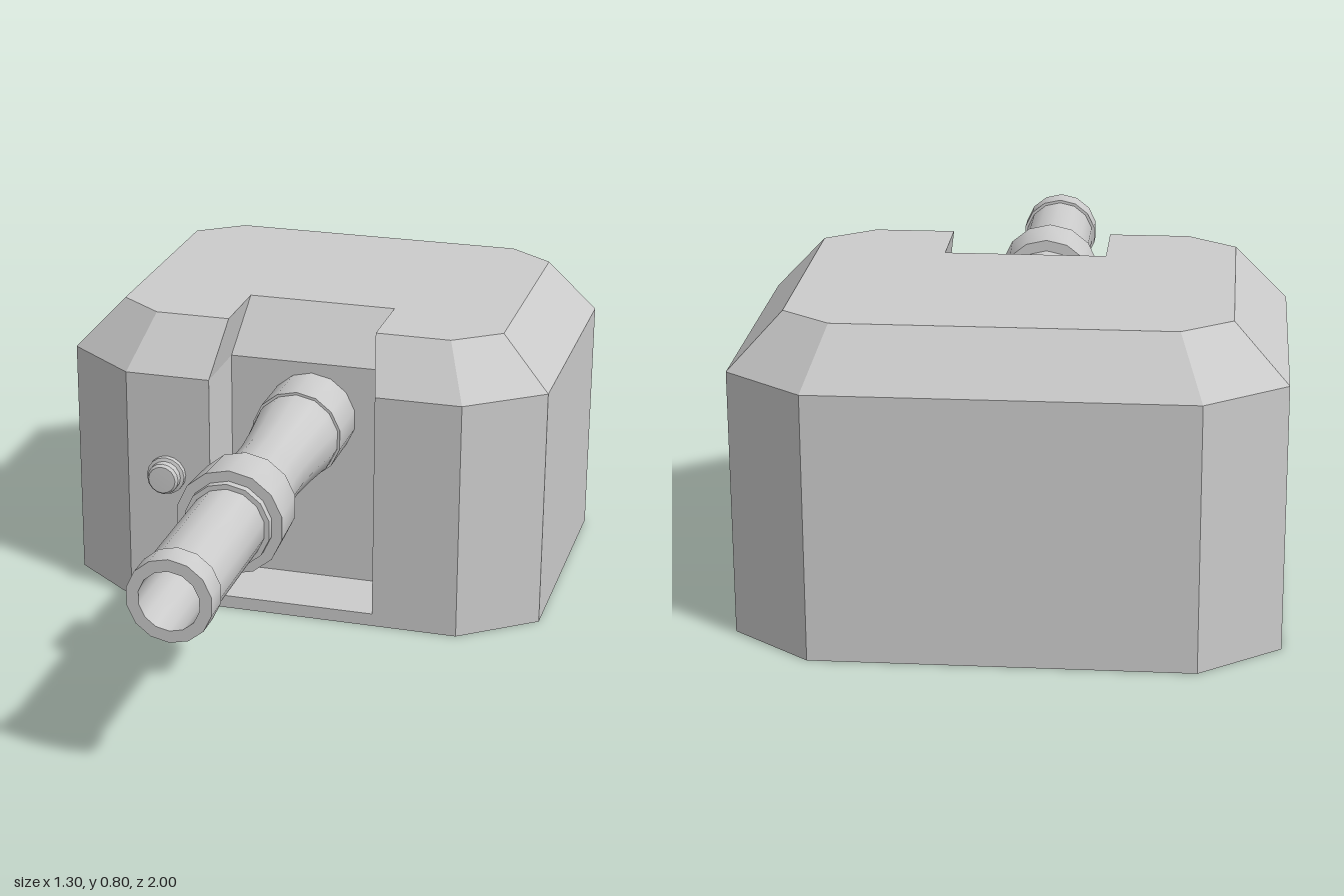
import * as THREE from 'three';
import { toCreasedNormals } from 'three/addons/utils/BufferGeometryUtils.js';

const material = new THREE.MeshStandardMaterial({ color: 0xcccccc });

// Horizontal outline of the housing: chamfered rectangle with a slot in the front.
// hx, hz: half sizes; cx, cz: where the corner chamfers start; slot: half width and depth
function outline(y, hx, hz, cx, cz, slotX, slotDepth) {
  const front = hz - 0.5;
  const back = -hz - 0.5;
  return [
    [-cx, front], [-slotX, front], [-slotX, front - slotDepth],
    [slotX, front - slotDepth], [slotX, front], [cx, front],
    [hx, cz - 0.5], [hx, -cz - 0.5], [cx, back],
    [-cx, back], [-hx, -cz - 0.5], [-hx, cz - 0.5],
  ].map(([x, z]) => new THREE.Vector3(x, y, z));
}

// Flat-shaded loft through the outlines, closed at both ends
function loft(rings) {
  const positions = [];
  const t = new THREE.Triangle();
  const tri = (a, b, c) => {
    if (t.set(a, b, c).getArea() < 1e-7) return;
    for (const p of [a, b, c]) positions.push(p.x, p.y, p.z);
  };
  for (let r = 0; r < rings.length - 1; r++) {
    const low = rings[r], high = rings[r + 1], n = low.length;
    for (let i = 0; i < n; i++) {
      const j = (i + 1) % n;
      tri(low[i], low[j], high[j]);
      tri(low[i], high[j], high[i]);
    }
  }
  const cap = (ring, up) => {
    const flat = ring.map((p) => new THREE.Vector2(p.x, -p.z));
    for (const [a, b, c] of THREE.ShapeUtils.triangulateShape(flat, [])) {
      if (up) tri(ring[a], ring[b], ring[c]);
      else tri(ring[a], ring[c], ring[b]);
    }
  };
  cap(rings[0].filter((p, i) => i < 1 || i > 4), false);
  cap(rings[rings.length - 1], true);
  const geometry = new THREE.BufferGeometry();
  geometry.setAttribute('position', new THREE.Float32BufferAttribute(positions, 3));
  geometry.computeVertexNormals();
  return geometry;
}

// Turned part along z from [radius, z] pairs
function turned(name, profile, sides, x, y) {
  const points = profile.map(([r, z]) => new THREE.Vector2(r, z));
  const lathe = new THREE.LatheGeometry(points, sides).rotateX(Math.PI / 2);
  const mesh = new THREE.Mesh(toCreasedNormals(lathe, 0.6), material);
  mesh.name = name;
  mesh.position.set(x, y, 0);
  return mesh;
}

export function createModel() {
  const group = new THREE.Group();
  group.name = 'turret';

  // Housing: sill, slot floor, straight walls, sloped shoulders
  const wall = (y, depth) => outline(y, 0.65, 0.5, 0.455, 0.35, 0.225, depth);
  const housing = new THREE.Mesh(loft([
    wall(0, 0), wall(0.035, 0), wall(0.035, 0.2), wall(0.655, 0.2),
    outline(0.795, 0.52, 0.4, 0.4, 0.31, 0.2, 0.2),
  ]), material);
  housing.name = 'housing';
  group.add(housing);

  // Barrel: root sleeve, waisted section, collar, tube, muzzle ring and bore
  group.add(turned('barrel', [
    [0.122, -0.2], [0.122, -0.05], [0.115, -0.05], [0.115, -0.02],
    [0.112, 0.0], [0.101, 0.1], [0.094, 0.2], [0.095, 0.27], [0.1, 0.4],
    [0.13, 0.4], [0.137, 0.54], [0.11, 0.54], [0.11, 0.56], [0.097, 0.56],
    [0.097, 0.93], [0.105, 0.93], [0.105, 1.0], [0.075, 1.0], [0.075, 0.75], [0, 0.75],
  ], 14, 0, 0.505));

  // Small push button beside the slot
  group.add(turned('button', [
    [0.052, -0.01], [0.052, 0.015], [0.043, 0.018], [0.043, 0.038], [0.037, 0.046], [0, 0.047],
  ], 16, -0.345, 0.375));

  return group;
}
